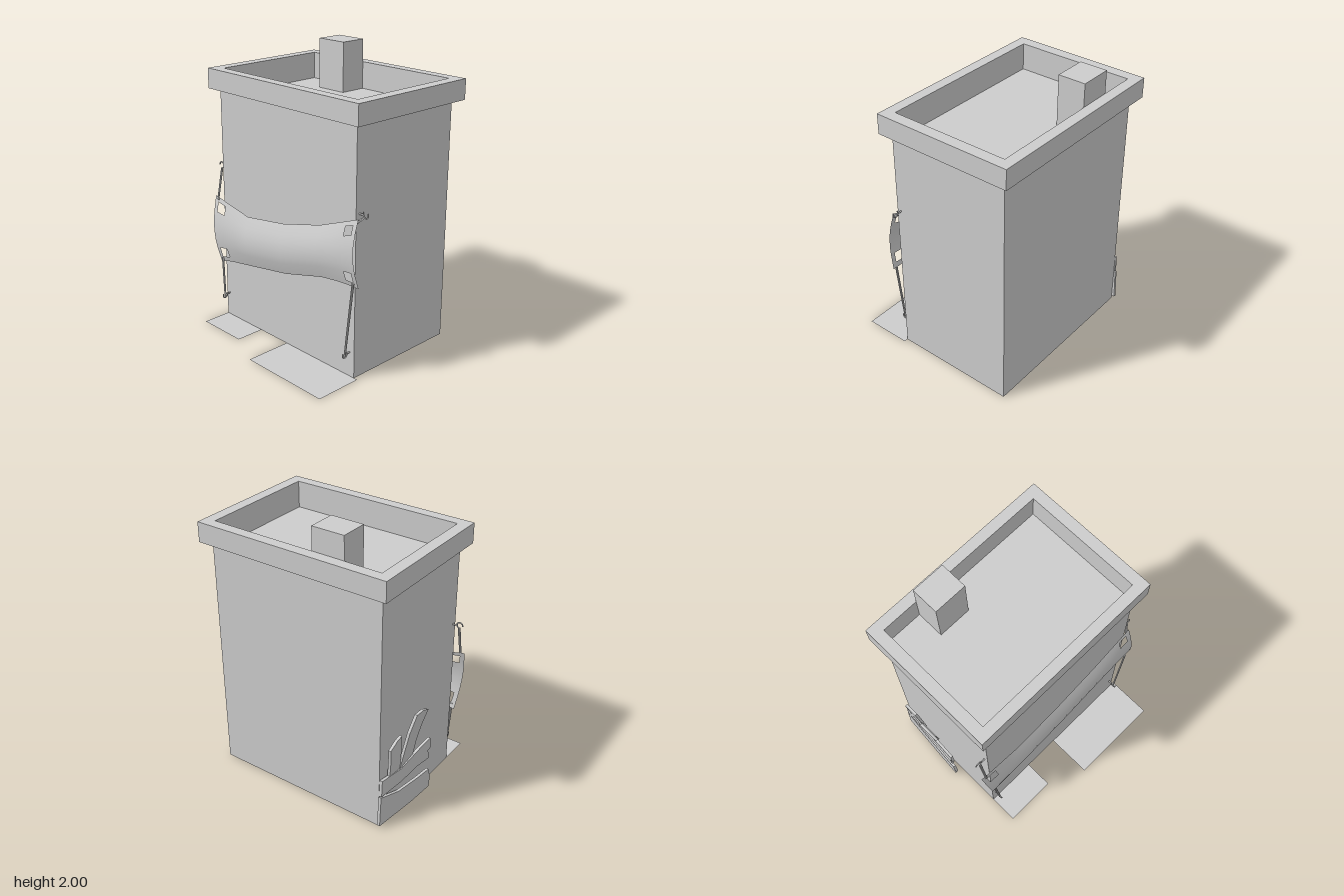
import * as THREE from 'three';

const V = (x, y, z) => new THREE.Vector3(x, y, z);
const grey = new THREE.MeshStandardMaterial({ color: 0xcccccc, side: THREE.DoubleSide });
grey.name = 'plain grey';

function add(parent, name, geometry) {
  const mesh = new THREE.Mesh(geometry, grey);
  mesh.name = name;
  parent.add(mesh);
  return mesh;
}

// box given by its limits
function box(x0, x1, y0, y1, z0, z1) {
  return new THREE.BoxGeometry(x1 - x0, y1 - y0, z1 - z0)
    .translate((x0 + x1) / 2, (y0 + y1) / 2, (z0 + z1) / 2);
}

// rectangular frame around the roof opening
function frame(x0, x1, z0, z1, y0, y1) {
  const rect = (a, b, c, d) => [[a, -c], [b, -c], [b, -d], [a, -d]].map(p => new THREE.Vector2(...p));
  const shape = new THREE.Shape(rect(x0, x1, z0, z1));
  shape.holes.push(new THREE.Path(rect(-0.62, 0.64, -0.565, 0.28)));
  return new THREE.ExtrudeGeometry(shape, { depth: y1 - y0, bevelEnabled: false })
    .rotateX(-Math.PI / 2).translate(0, y0, 0);
}

// thin rod between two points
function rod(a, b, r = 0.006) {
  const dir = b.clone().sub(a);
  const g = new THREE.CylinderGeometry(r, r, dir.length(), 6);
  g.applyQuaternion(new THREE.Quaternion().setFromUnitVectors(V(0, 1, 0), dir.normalize()));
  return g.translate((a.x + b.x) / 2, (a.y + b.y) / 2, (a.z + b.z) / 2);
}

// piecewise linear curve through [x, y] points
function along(points, x) {
  for (let i = 1; i < points.length; i++) {
    const [x0, y0] = points[i - 1], [x1, y1] = points[i];
    if (x <= x1 || i === points.length - 1) return y0 + (y1 - y0) * (x - x0) / (x1 - x0);
  }
}

// sagging cloth as a grid, with four cells left out as eyelets
function bannerGeometry() {
  const us = [0, 0.025, 0.08, 0.16, 0.25, 0.38, 0.51, 0.64, 0.76, 0.86, 0.93, 0.975, 1];
  const vs = [0, 0.07, 0.21, 0.35, 0.5, 0.65, 0.77, 0.92, 1];
  const top = [[0, 0.91], [0.08, 0.885], [0.25, 0.838], [0.51, 0.89], [0.76, 0.98], [1, 1.11]];
  const bottom = [[0, 0.42], [0.08, 0.45], [0.25, 0.487], [0.51, 0.545], [0.76, 0.635], [0.9, 0.66], [1, 0.66]];
  const pos = [], index = [];
  for (const v of vs) for (const u of us) {
    const left = -0.72 + 0.06 * v, right = 0.69 + 0.025 * v * v;
    const t = along(top, u), b = along(bottom, u);
    pos.push(left + (right - left) * u, t + (b - t) * v, 0.31 + 0.015 * v + 0.045 * Math.sin(Math.PI * v));
  }
  const n = us.length;
  for (let j = 0; j < vs.length - 1; j++) for (let i = 0; i < n - 1; i++) {
    if ((i === 1 || i === n - 3) && (j === 1 || j === vs.length - 3)) continue;
    const a = j * n + i;
    index.push(a, a + n, a + 1, a + 1, a + n, a + n + 1);
  }
  const g = new THREE.BufferGeometry();
  g.setAttribute('position', new THREE.Float32BufferAttribute(pos, 3));
  g.setIndex(index);
  g.computeVertexNormals();
  return g;
}

// warped plank on the -x wall: outline in (z, y), bent outward by a rule
function plank(outline, lean) {
  const shape = new THREE.Shape(outline.map(p => new THREE.Vector2(...p)));
  const g = new THREE.ExtrudeGeometry(shape, { depth: 0.02, bevelEnabled: false })
    .rotateY(-Math.PI / 2).translate(-0.642, 0, 0);
  const p = g.attributes.position;
  for (let i = 0; i < p.count; i++) p.setX(i, p.getX(i) - lean(p.getZ(i), p.getY(i)));
  g.computeVertexNormals();
  return g;
}

export function createModel() {
  const model = new THREE.Group();
  model.name = 'building';

  // walls and sunken roof, open underneath
  const body = box(-0.64, 0.66, 0, 1.65, -0.58, 0.3);
  const faces = Array.from(body.index.array);
  faces.splice(18, 6);
  body.setIndex(faces);
  body.clearGroups();
  add(model, 'walls', body);
  add(model, 'wallTop', frame(-0.64, 0.66, -0.58, 0.3, 1.65, 1.7));
  add(model, 'parapet', frame(-0.7, 0.72, -0.64, 0.355, 1.7, 1.84));
  add(model, 'chimney', box(-0.36, -0.125, 1.65, 2, -0.565, -0.37));

  // flat ground patches in front
  for (const [x0, x1, z1] of [[-0.64, -0.26, 0.51], [0.01, 0.69, 0.635]]) {
    const g = new THREE.PlaneGeometry(x1 - x0, z1 - 0.3).rotateX(-Math.PI / 2);
    add(model, 'groundPatch', g.translate((x0 + x1) / 2, 0.001, (0.3 + z1) / 2));
  }

  // banner with its hooks and ropes
  const banner = new THREE.Group();
  banner.name = 'banner';
  model.add(banner);
  add(banner, 'cloth', bannerGeometry());
  for (const [wall, s] of [[-0.64, -1], [0.66, 1]]) {
    add(banner, 'sideHookStem', rod(V(wall, 1.13, 0.27), V(wall + s * 0.035, 1.13, 0.27)));
    const ring = new THREE.TorusGeometry(0.022, 0.005, 5, 8, 4.4).rotateZ(s > 0 ? 2.5 : -1.2);
    add(banner, 'sideHook', ring.translate(wall + s * 0.052, 1.135, 0.27));
  }
  for (const x of [-0.61, 0.62]) {
    add(banner, 'frontHookStem', rod(V(x, 0.175, 0.295), V(x, 0.175, 0.33)));
    const ring = new THREE.TorusGeometry(0.02, 0.005, 5, 8, 4.4).rotateZ(2.5).rotateY(-Math.PI / 2);
    add(banner, 'frontHook', ring.translate(x, 0.17, 0.345));
  }
  const ropes = [
    [V(-0.685, 1.115, 0.275), V(-0.685, 0.885, 0.32)],
    [V(0.705, 1.12, 0.275), V(0.66, 1.065, 0.318)],
    [V(-0.635, 0.46, 0.335), V(-0.61, 0.16, 0.345)],
    [V(0.68, 0.69, 0.34), V(0.62, 0.16, 0.345)],
  ];
  for (const [a, b] of ropes) for (const s of [-1, 1]) {
    add(banner, 'rope', rod(a.clone().add(V(s * 0.005, 0, 0)), b.clone().add(V(s * 0.003, 0, 0)), 0.005));
  }

  // broken planks around the lower back corner
  const planks = new THREE.Group();
  planks.name = 'planks';
  model.add(planks);
  const across = z => 0.04 * Math.max(0, (z + 0.6) / 0.55);
  const upward = y => 0.07 * Math.max(0, (y - 0.3) / 0.45);
  add(planks, 'lowerPlank', plank([[-0.6, 0.02], [-0.42, 0.01], [-0.25, 0], [-0.05, 0.005], [-0.04, 0.08],
    [-0.06, 0.16], [-0.2, 0.165], [-0.4, 0.185], [-0.59, 0.25]], across));
  add(planks, 'middlePlank', plank([[-0.585, 0.255], [-0.38, 0.25], [-0.2, 0.27], [-0.06, 0.26], [-0.08, 0.33],
    [-0.05, 0.34], [-0.06, 0.425], [-0.2, 0.4], [-0.38, 0.36], [-0.58, 0.38]], across));
  add(planks, 'shortPlank', plank([[-0.5, 0.36], [-0.38, 0.35], [-0.39, 0.5], [-0.41, 0.65], [-0.46, 0.64],
    [-0.53, 0.6], [-0.51, 0.48]], (z, y) => 0.6 * upward(y)));
  add(planks, 'tallPlank', plank([[-0.39, 0.34], [-0.24, 0.36], [-0.23, 0.52], [-0.2, 0.63], [-0.15, 0.72],
    [-0.22, 0.755], [-0.3, 0.76], [-0.35, 0.64], [-0.37, 0.5]], (z, y) => upward(y)));
  return model;
}
